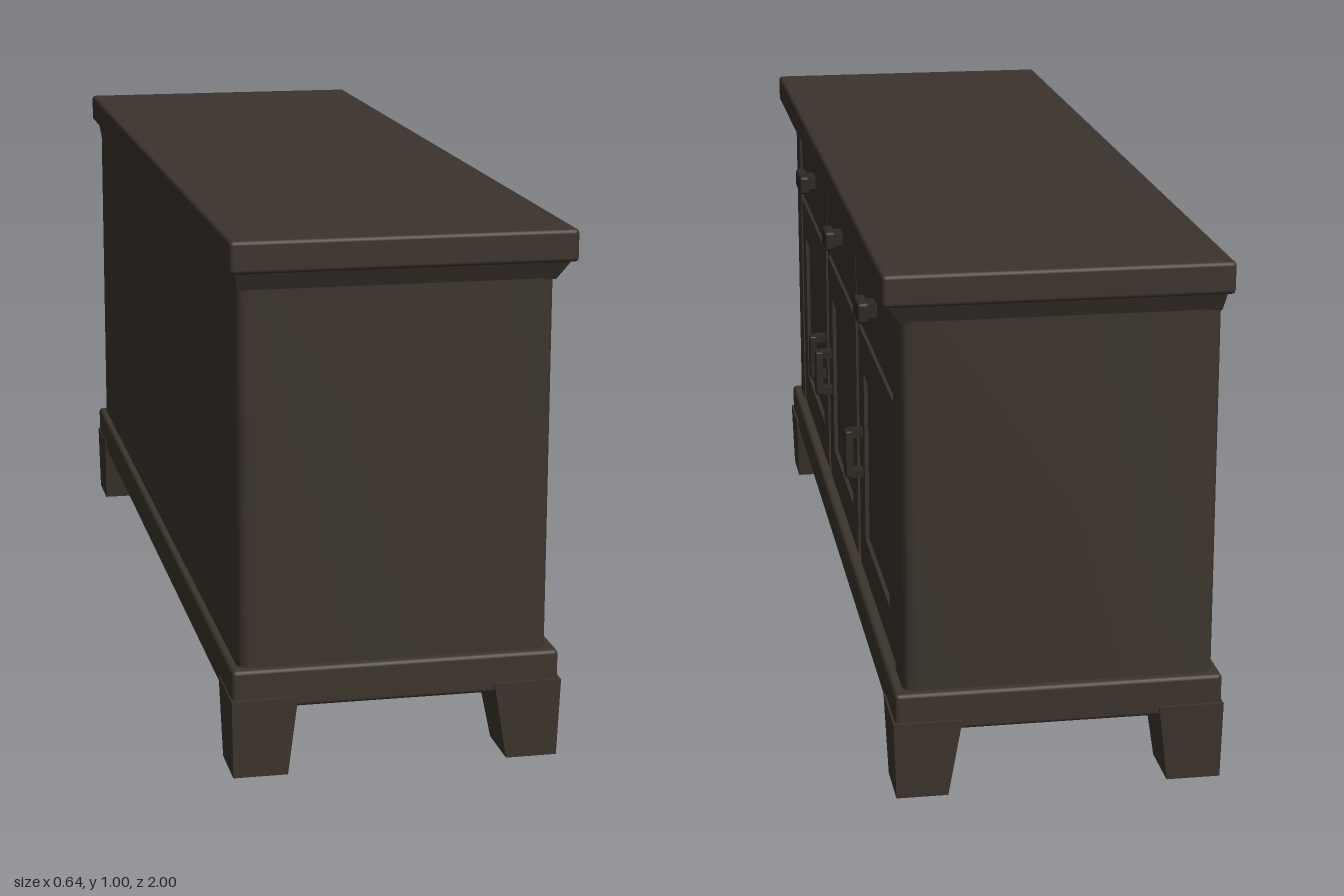
import * as THREE from 'three';
import { RoundedBoxGeometry } from 'three/addons/geometries/RoundedBoxGeometry.js';
import { toCreasedNormals } from 'three/addons/utils/BufferGeometryUtils.js';

export function createModel() {
  const root = new THREE.Group();
  root.name = 'sideboard';
  const mat = (name, color) => {
    const m = new THREE.MeshStandardMaterial({ color });
    m.name = name;
    return m;
  };
  const wood = mat('darkWood', 0x3d352d);
  const front = mat('frontWood', 0x3a322b);
  const topWood = mat('topWood', 0x3c332d);
  const iron = mat('darkHandle', 0x302923);

  const add = (name, geo, m, parent = root) => {
    const mesh = new THREE.Mesh(geo, m);
    mesh.name = name;
    parent.add(mesh);
    return mesh;
  };
  // Box given by its limits on each axis
  const box = (name, x0, x1, y0, y1, z0, z1, m, r = 0, parent = root) => {
    const w = x1 - x0, h = y1 - y0, d = z1 - z0;
    const g = r ? new RoundedBoxGeometry(w, h, d, 2, r) : new THREE.BoxGeometry(w, h, d);
    g.translate((x0 + x1) / 2, (y0 + y1) / 2, (z0 + z1) / 2);
    return add(name, g, m, parent);
  };
  // Block whose bottom and top rectangles differ: [x0, x1, z0, z1]
  const taper = (name, y0, bottom, y1, top, m) => {
    const g = new THREE.BoxGeometry(1, 1, 1).toNonIndexed();
    const p = g.attributes.position;
    for (let i = 0; i < p.count; i++) {
      const up = p.getY(i) > 0, r = up ? top : bottom;
      p.setXYZ(i, r[p.getX(i) > 0 ? 1 : 0], up ? y1 : y0, r[p.getZ(i) > 0 ? 3 : 2]);
    }
    g.computeVertexNormals();
    return add(name, g, m);
  };

  // Carcass: rounded corner posts with a shallow recess along the front (+x)
  const plan = new THREE.Shape();
  const xb = -0.304, xf = 0.28, zs = 0.973, r = 0.025, zr = 0.86, xr = 0.262;
  plan.moveTo(xb + r, -zs);
  plan.lineTo(xf - r, -zs);
  plan.quadraticCurveTo(xf, -zs, xf, -zs + r);
  plan.lineTo(xf, -zr);
  plan.lineTo(xr, -zr);
  plan.lineTo(xr, zr);
  plan.lineTo(xf, zr);
  plan.lineTo(xf, zs - r);
  plan.quadraticCurveTo(xf, zs, xf - r, zs);
  plan.lineTo(xb + r, zs);
  plan.quadraticCurveTo(xb, zs, xb, zs - r);
  plan.lineTo(xb, -zs + r);
  plan.quadraticCurveTo(xb, -zs, xb + r, -zs);
  const carcass = new THREE.ExtrudeGeometry(plan, { depth: 0.76, bevelEnabled: false, curveSegments: 6 });
  carcass.rotateX(-Math.PI / 2).translate(0, 0.19, 0);
  add('carcass', toCreasedNormals(carcass, 0.6), wood);

  // Top slab with a sloped moulding below it
  box('topSlab', -0.32, 0.316, 0.94, 1, -1, 1, topWood, 0.008);
  taper('topMoulding', 0.905, [-0.302, 0.281, -0.972, 0.972], 0.942, [-0.308, 0.306, -0.988, 0.988], wood);

  // Plinth and four tapered feet
  box('plinth', -0.318, 0.298, 0.13, 0.205, -0.99, 0.99, wood, 0.008);
  for (const s of [-1, 1]) {
    const zz = (a, b) => (s > 0 ? [a, b] : [-b, -a]);
    const side = s > 0 ? 'Left' : 'Right';
    taper('frontFoot' + side, 0, [0.2, 0.297, ...zz(0.88, 0.992)], 0.15, [0.174, 0.302, ...zz(0.853, 0.997)], wood);
    taper('backFoot' + side, 0, [-0.317, -0.215, ...zz(0.88, 0.992)], 0.15, [-0.32, -0.197, ...zz(0.853, 0.997)], wood);
  }

  // Front rails and stiles
  box('upperRail', 0.25, 0.276, 0.905, 0.94, -0.86, 0.86, front);
  box('middleRail', 0.25, 0.274, 0.728, 0.752, -0.86, 0.86, front);
  for (const z of [0.29, -0.285]) box('stile', 0.25, 0.274, 0.2, 0.74, z - 0.015, z + 0.015, front);

  // Raised frame around a recessed panel, facing +x
  const door = (z0, z1, p0, p1, handleZ) => {
    const g = new THREE.Group();
    g.name = 'door';
    root.add(g);
    const rect = (T, a, b, c, d) => {
      const s = new T();
      s.moveTo(-b, c); s.lineTo(-a, c); s.lineTo(-a, d); s.lineTo(-b, d); s.closePath();
      return s;
    };
    const frame = rect(THREE.Shape, z0, z1, 0.21, 0.722);
    frame.holes.push(rect(THREE.Path, p0, p1, 0.29, 0.64));
    const geo = new THREE.ExtrudeGeometry(frame, { depth: 0.028, bevelEnabled: false });
    geo.rotateY(Math.PI / 2).translate(0.25, 0, 0);
    add('doorFrame', geo, front, g);
    box('doorPanel', 0.25, 0.27, 0.28, 0.65, p0 - 0.01, p1 + 0.01, front, 0, g);
    // Upright bar held by two short mounts
    box('doorHandleBar', 0.298, 0.315, 0.415, 0.515, handleZ - 0.014, handleZ + 0.014, iron, 0.004, g);
    for (const y of [0.415, 0.5]) box('doorHandleMount', 0.27, 0.305, y, y + 0.017, handleZ - 0.012, handleZ + 0.012, iron, 0, g);
  };
  door(0.312, 0.852, 0.4, 0.78, 0.355);
  door(-0.262, 0.268, -0.18, 0.19, 0.225);
  door(-0.852, -0.307, -0.77, -0.39, -0.355);

  // Drawers with small block pulls
  for (const [z0, z1, hz, w] of [[0.282, 0.855, 0.565, 0.1], [-0.257, 0.274, 0, 0.07], [-0.855, -0.265, -0.58, 0.075]]) {
    box('drawerFront', 0.25, 0.276, 0.756, 0.9, z0, z1, front);
    box('drawerPullStem', 0.27, 0.3, 0.816, 0.842, hz - w * 0.3, hz + w * 0.3, iron);
    box('drawerPull', 0.292, 0.315, 0.808, 0.848, hz - w / 2, hz + w / 2, iron, 0.006);
  }
  return root;
}
